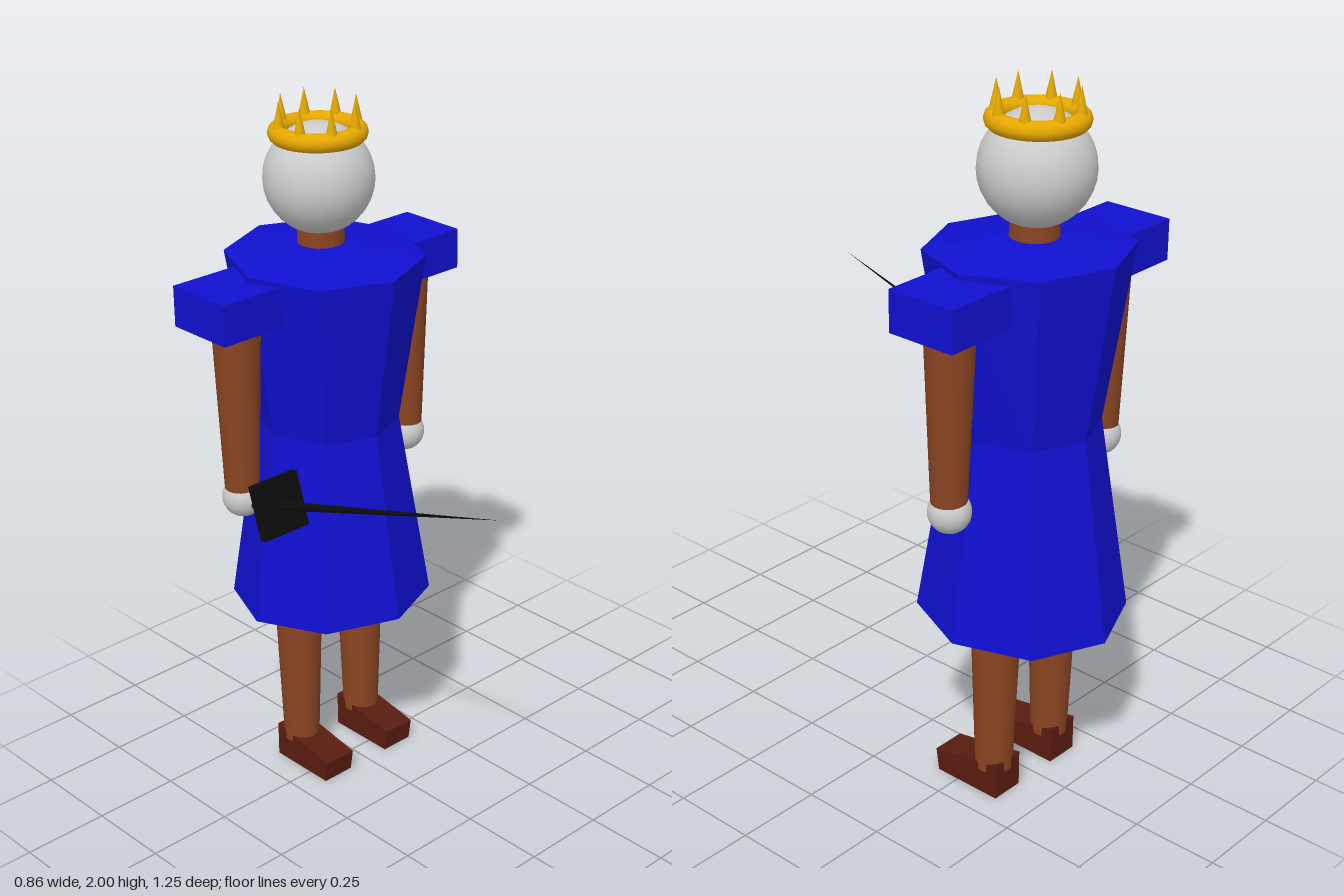
import * as THREE from 'three';

export function createModel() {
  const model = new THREE.Group();
  model.name = 'crownedFigure';
  const BODY_Z = -0.34;

  const mat = (color, flatShading = false) => new THREE.MeshStandardMaterial({ color, flatShading });
  const grey = mat(0xcccccc);
  const blue = mat(0x1010d0, true);
  const skin = mat(0x8b4522);
  const leather = mat(0x5a1c10, true);
  const gold = mat(0xe6a800);
  const black = mat(0x0c0c0c, true);

  function add(name, geometry, material, x, y, z, parent = model) {
    const mesh = new THREE.Mesh(geometry, material);
    mesh.name = name;
    mesh.position.set(x, y, z);
    parent.add(mesh);
    return mesh;
  }

  // Eight-sided dress: shallow cone lids, narrow waist, rims leaning slightly towards the waist at the front
  const profile = [[0, 0.485], [0.287, 0.53], [0.2, 1.085], [0.275, 1.57], [0, 1.61]];
  const dress = new THREE.LatheGeometry(profile.map(([r, y]) => new THREE.Vector2(r, y)), 8);
  const pos = dress.attributes.position;
  for (let i = 0; i < pos.count; i++) {
    const y = pos.getY(i);
    pos.setY(i, y + pos.getZ(i) * (1.085 - y) * 0.07);
  }
  add('dress', dress, blue, 0, 0, BODY_Z + 0.01);

  // Neck and head
  add('neck', new THREE.CylinderGeometry(0.065, 0.065, 0.14, 24), skin, 0, 1.62, -0.345);
  add('head', new THREE.SphereGeometry(0.152, 32, 16), grey, 0, 1.78, -0.348);

  // Crown: ring with eight spikes
  const crown = new THREE.Group();
  crown.name = 'crown';
  crown.position.set(0, 1.905, -0.348);
  model.add(crown);
  add('crownRing', new THREE.TorusGeometry(0.109, 0.026, 12, 40).rotateX(Math.PI / 2), gold, 0, 0, 0, crown);
  for (let i = 0; i < 8; i++) {
    const a = (i + 0.5) * Math.PI / 4;
    add('crownSpike', new THREE.ConeGeometry(0.02, 0.09, 12), gold,
      0.109 * Math.cos(a), 0.047, 0.109 * Math.sin(a), crown);
  }

  // Shoe: side profile with a sloping top, extruded across the width
  const sole = new THREE.Shape([[0.39, 0], [0.39, 0.105], [0.17, 0.065], [0.18, 0]]
    .map(([z, y]) => new THREE.Vector2(z, y)));
  const shoe = new THREE.ExtrudeGeometry(sole, { depth: 0.1, bevelEnabled: false });
  shoe.translate(0, 0, -0.05).rotateY(Math.PI / 2);

  // Paired limbs
  for (const [side, s] of [['left', 1], ['right', -1]]) {
    add(side + 'Sleeve', new THREE.BoxGeometry(0.23, 0.115, 0.205), blue, s * 0.313, 1.4975, -0.348);
    add(side + 'Arm', new THREE.CylinderGeometry(0.069, 0.047, 0.56, 24), skin, s * 0.312, 1.22, BODY_Z);
    add(side + 'Hand', new THREE.SphereGeometry(0.058, 24, 16), grey, s * 0.31, 0.937, BODY_Z);
    add(side + 'Leg', new THREE.CylinderGeometry(0.07, 0.052, 0.5, 24), skin, s * 0.12, 0.32, BODY_Z);
    add(side + 'Shoe', shoe, leather, s * 0.12, 0, 0);
  }

  // Sword in the right hand, pointing forward and slightly up
  const sword = new THREE.Group();
  sword.name = 'sword';
  sword.position.set(-0.313, 0.963, -0.185);
  sword.rotation.x = -0.306;
  model.add(sword);
  add('swordGuard', new THREE.BoxGeometry(0.152, 0.155, 0.025), black, 0, 0, 0, sword);
  add('swordBlade', new THREE.ConeGeometry(0.014, 0.855, 8).rotateX(Math.PI / 2), black, 0, 0, 0.4275, sword);
  add('swordGrip', new THREE.CylinderGeometry(0.014, 0.014, 0.18, 8).rotateX(Math.PI / 2), black, 0, 0, -0.09, sword);

  return model;
}
